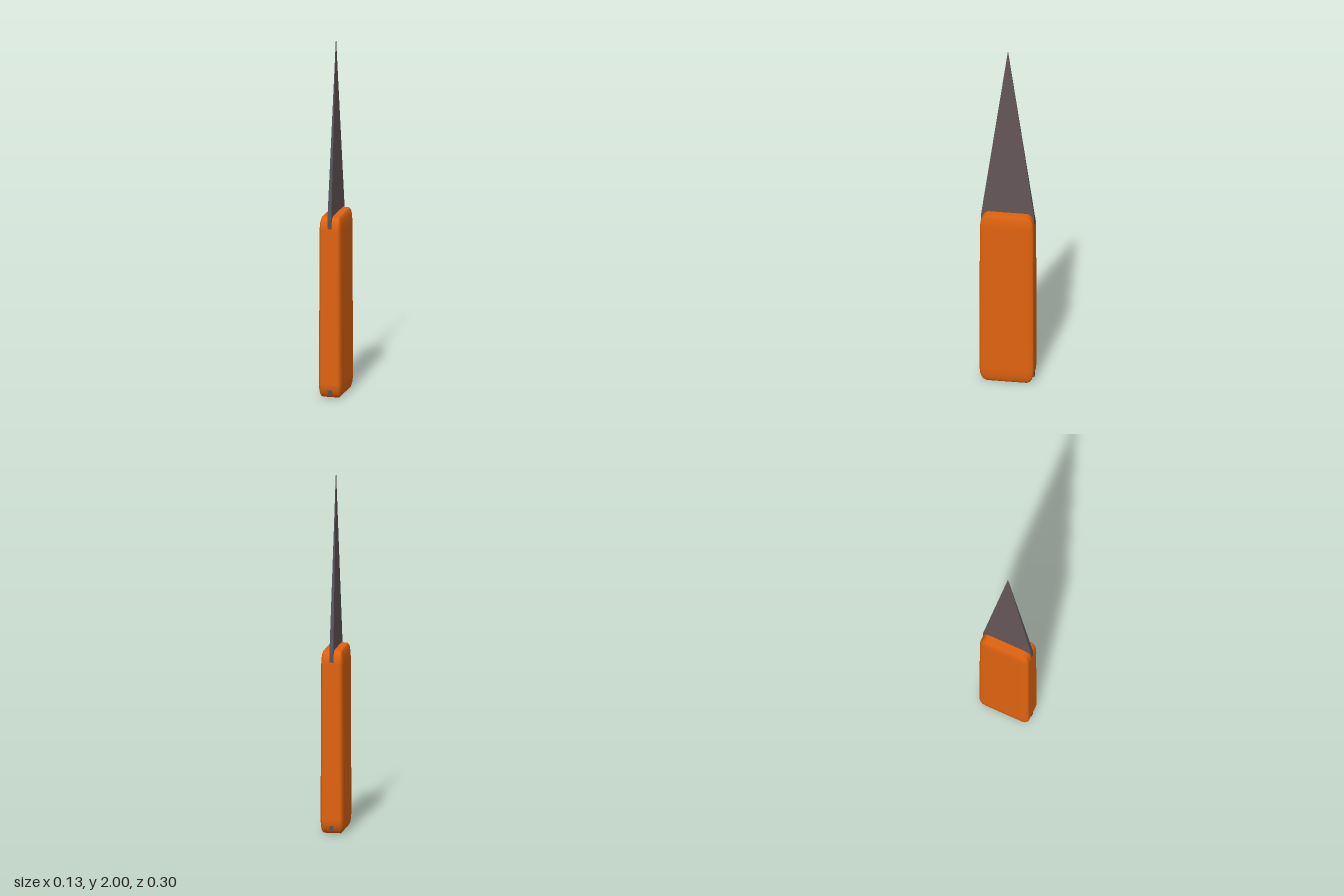
import * as THREE from 'three';
import { RoundedBoxGeometry } from 'three/addons/geometries/RoundedBoxGeometry.js';

const orange = new THREE.MeshStandardMaterial({ color: 0xe0630f });
orange.name = 'handle orange';
const steel = new THREE.MeshStandardMaterial({ color: 0x645659 });
steel.name = 'blade grey';
const edgeSteel = new THREE.MeshStandardMaterial({ color: 0x54555d });
edgeSteel.name = 'edge grey';

// Box face order: +x, -x, +y, -y, +z, -z
const bladeMaterials = [steel, steel, edgeSteel, edgeSteel, edgeSteel, edgeSteel];

function steelBox(name, y0, y1, topScale) {
  const geo = new THREE.BoxGeometry(0.022, y1 - y0, 0.292).toNonIndexed();
  geo.translate(0, (y0 + y1) / 2, 0);
  const p = geo.attributes.position;
  for (let i = 0; i < p.count; i++) {
    if (p.getY(i) > (y0 + y1) / 2) {
      p.setX(i, p.getX(i) * topScale);
      p.setZ(i, p.getZ(i) * topScale);
    }
  }
  geo.computeVertexNormals();
  const mesh = new THREE.Mesh(geo, bladeMaterials);
  mesh.name = name;
  return mesh;
}

export function createModel() {
  const group = new THREE.Group();
  group.name = 'knife';

  // Handle: rounded box stretched so its rounding is long in y and short in x
  const geo = new RoundedBoxGeometry(0.289, 0.508, 0.3, 2, 0.04);
  geo.scale(0.45, 2, 1);
  geo.translate(0, 0.508, 0);
  const p = geo.attributes.position;
  for (let i = 0; i < p.count; i++) {
    // Slightly slimmer towards the blade
    const t = p.getY(i) / 1.016;
    p.setX(i, p.getX(i) * (1 - 0.06 * t));
    p.setZ(i, p.getZ(i) * (1 - 0.015 * t));
  }
  const handle = new THREE.Mesh(geo, orange);
  handle.name = 'handle';
  group.add(handle);

  // Tang runs through the handle, and the blade tapers to a point
  group.add(steelBox('tang', 0.02, 1.0, 1));
  group.add(steelBox('blade', 1.0, 2.0, 0.001));
  return group;
}
